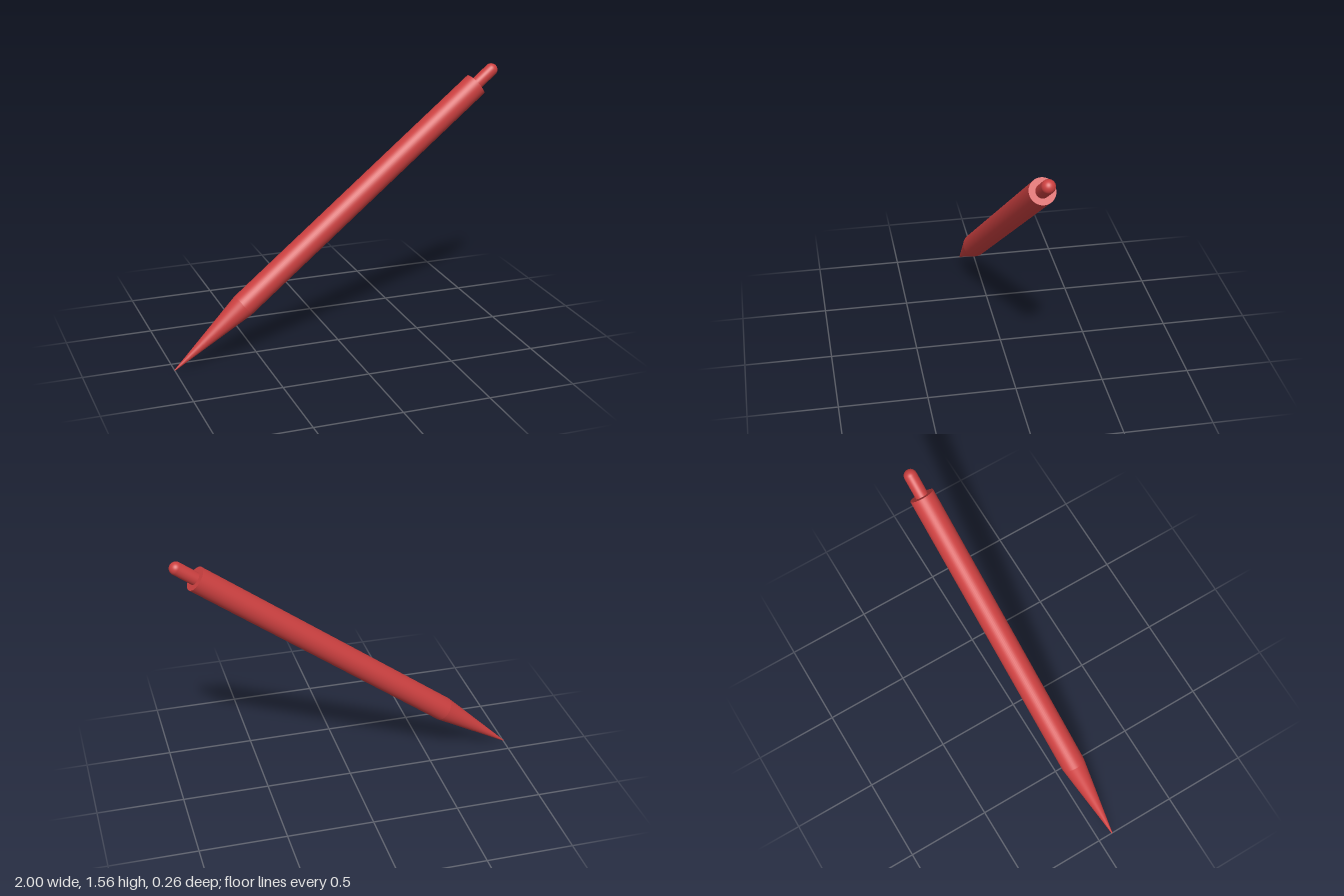
import * as THREE from 'three';

const SEGMENTS = 48;

export function createModel() {
  const model = new THREE.Group();
  model.name = 'pen';
  const material = new THREE.MeshStandardMaterial({ color: 0xcc4040 });

  // The pen runs along its own axis from the tip to the centre of the button's round end
  const tip = new THREE.Vector3(-1, 0.004, 0.09);
  const end = new THREE.Vector3(0.964, 1.523, -0.066);
  const axis = end.clone().sub(tip);
  const length = axis.length();

  const bodyRadius = 0.071, buttonRadius = 0.037;
  const bodyStart = 0.522, bodyEnd = 2.362;

  const pen = new THREE.Group();
  pen.name = 'penAssembly';
  pen.position.copy(tip);
  pen.quaternion.setFromUnitVectors(new THREE.Vector3(0, 1, 0), axis.normalize());
  model.add(pen);

  const add = (name, geometry, y) => {
    const mesh = new THREE.Mesh(geometry, material);
    mesh.name = name;
    mesh.position.y = y;
    pen.add(mesh);
  };

  // Tapered writing point
  add('point', new THREE.CylinderGeometry(bodyRadius, 0.003, bodyStart, SEGMENTS), bodyStart / 2);

  // Straight barrel with a flat end
  add('barrel', new THREE.CylinderGeometry(bodyRadius, bodyRadius, bodyEnd - bodyStart, SEGMENTS),
    (bodyStart + bodyEnd) / 2);

  // Push button: a shaft with a domed end
  const profile = [new THREE.Vector2(buttonRadius, bodyEnd - 0.02 - length)];
  for (let i = 0; i <= 12; i++) {
    const a = (i / 12) * Math.PI / 2;
    profile.push(new THREE.Vector2(buttonRadius * Math.cos(a), buttonRadius * Math.sin(a)));
  }
  add('button', new THREE.LatheGeometry(profile, SEGMENTS), length);

  return model;
}
